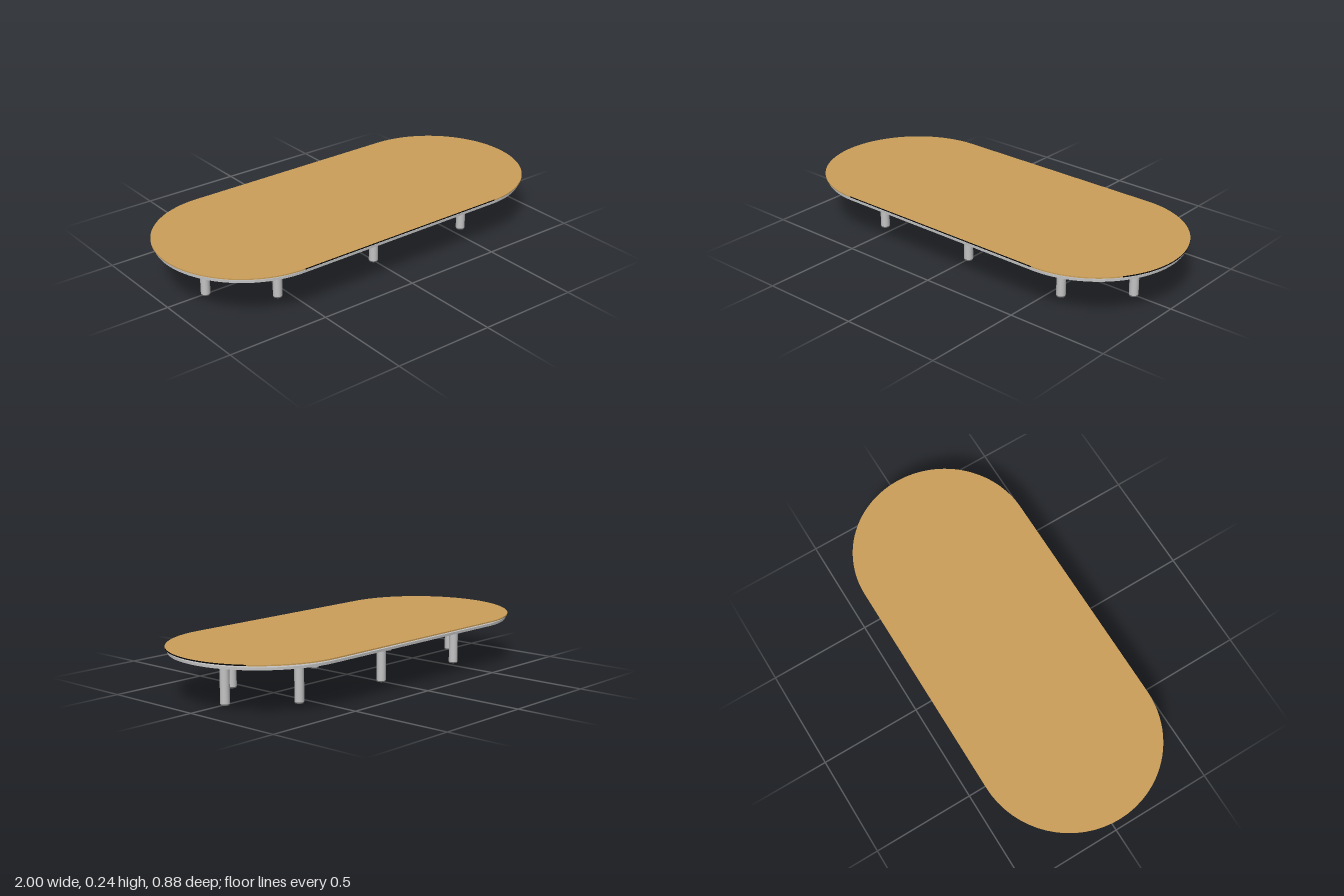
import * as THREE from 'three';

const HALF = 0.56; // distance from centre to the middle of each rounded end

function material(name, color) {
  const m = new THREE.MeshStandardMaterial({ color });
  m.name = name;
  return m;
}

// Stadium outline: a rectangle with a half circle at each end
function stadium(r) {
  const s = new THREE.Shape();
  s.moveTo(-HALF, -r);
  s.lineTo(HALF, -r);
  s.absarc(HALF, 0, r, -Math.PI / 2, Math.PI / 2, false);
  s.lineTo(-HALF, r);
  s.absarc(-HALF, 0, r, Math.PI / 2, Math.PI * 1.5, false);
  return s;
}

export function createModel() {
  const group = new THREE.Group();
  const wood = material('wood', 0xcca05a);
  const black = material('black', 0x0a0a0a);
  const steel = material('steel', 0xc4c4c4);
  const rubber = material('rubber', 0x707070);

  const add = (name, geometry, mat, x = 0, y = 0, z = 0) => {
    const mesh = new THREE.Mesh(geometry, mat);
    mesh.name = name;
    mesh.position.set(x, y, z);
    group.add(mesh);
    return mesh;
  };

  // Table top: wooden upper face, black underside
  const R = 0.44, low = 0.232, high = 0.238, mid = (low + high) / 2;
  const face = new THREE.ShapeGeometry(stadium(R), 32);
  add('tableTopFace', face, wood, 0, high).rotation.x = -Math.PI / 2;
  add('tableTopUnderside', face, black, 0, low).rotation.x = Math.PI / 2;

  // Edge band: curved ends, then the two straight sides
  const arc = (name, mat, x, start, length) => add(name,
    new THREE.CylinderGeometry(R, R, high - low, 32, 1, true, start, length), mat, x, mid);
  const a = 0.3 * Math.PI;
  arc('leftEdgeFrontCorner', wood, HALF, 0, a);
  arc('leftEdgeMiddle', black, HALF, a, Math.PI - 2 * a);
  arc('leftEdgeBackCorner', wood, HALF, Math.PI - a, a);
  arc('rightEdge', wood, -HALF, Math.PI, Math.PI);
  const strip = new THREE.PlaneGeometry(2 * HALF, high - low);
  add('frontEdge', strip, black, 0, mid, R);
  add('backEdge', strip, wood, 0, mid, -R).rotation.y = Math.PI;

  // Support board just below the top, with a narrow gap
  const board = new THREE.ExtrudeGeometry(stadium(0.43),
    { depth: 0.012, bevelEnabled: false, curveSegments: 32 });
  add('supportBoard', board, steel, 0, 0.212).rotation.x = -Math.PI / 2;

  // Three pairs of legs and one under each rounded end
  const spots = [[-0.8, 0], [0.8, 0]];
  for (const x of [-0.555, 0, 0.555]) spots.push([x, 0.217], [x, -0.217]);
  const leg = new THREE.CylinderGeometry(0.022, 0.022, 0.207, 24);
  const foot = new THREE.CylinderGeometry(0.022, 0.021, 0.006, 24);
  for (const [x, z] of spots) {
    add('leg', leg, steel, x, 0.1095, z);
    add('foot', foot, rubber, x, 0.003, z);
  }
  return group;
}
